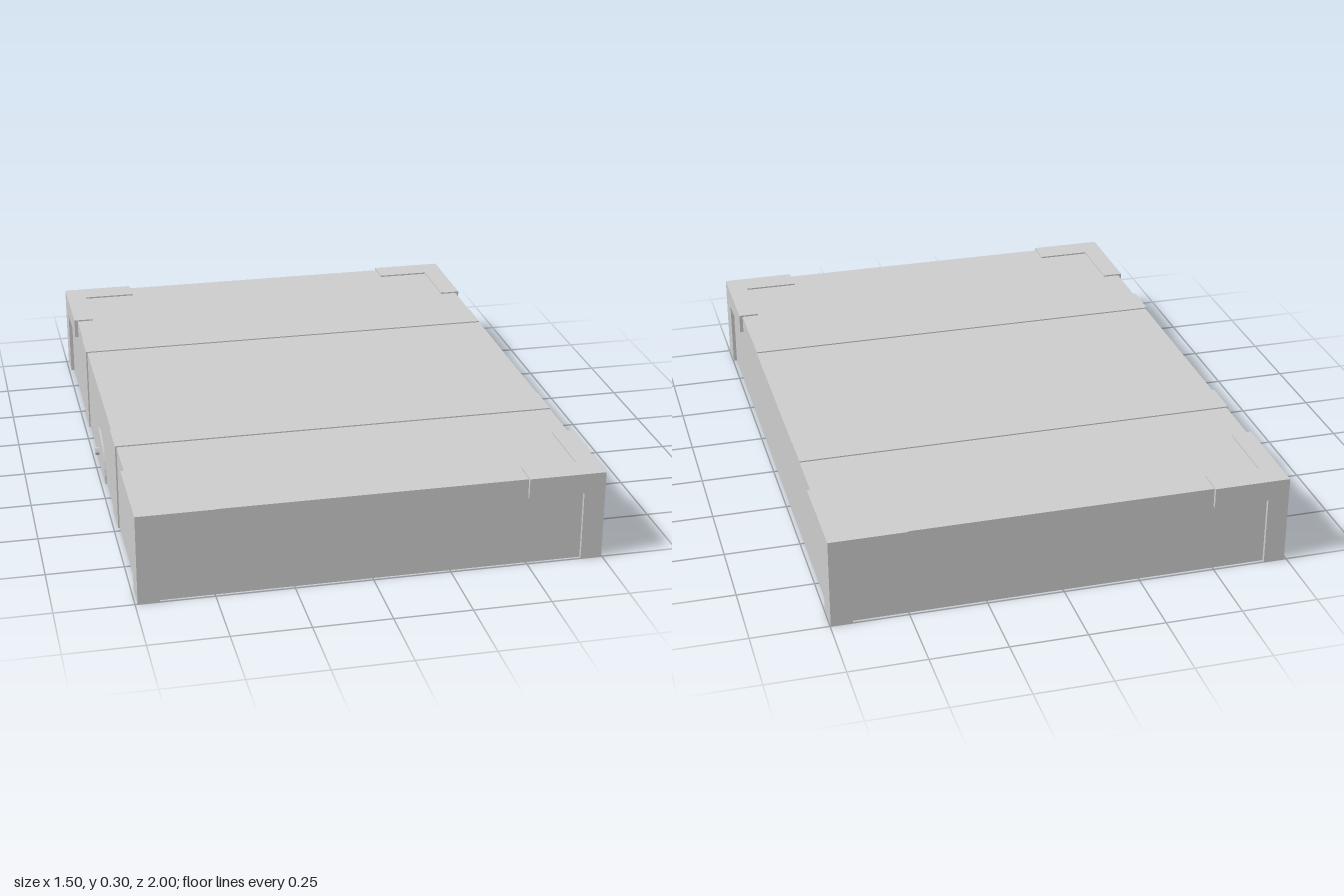
import * as THREE from 'three';

const material = new THREE.MeshStandardMaterial({ color: 0xcccccc, flatShading: true, side: THREE.DoubleSide });

export function createModel() {
  const group = new THREE.Group();
  const cx = 0.003; // middle of the lid shell

  const add = (name, geometry, parent = group) => {
    const mesh = new THREE.Mesh(geometry, material);
    mesh.name = name;
    parent.add(mesh);
    return mesh;
  };
  // Box given by its lower and upper corners
  const box = (name, x0, y0, z0, x1, y1, z1, parent) => {
    const mesh = add(name, new THREE.BoxGeometry(x1 - x0, y1 - y0, z1 - z0), parent);
    mesh.position.set((x0 + x1) / 2, (y0 + y1) / 2, (z0 + z1) / 2);
    return mesh;
  };
  const rect = (target, w, d) => {
    target.moveTo(-w, -d).lineTo(w, -d).lineTo(w, d).lineTo(-w, d).closePath();
    return target;
  };

  // Hollow lid: a rim of four walls under a closed top panel
  const W = 0.733, D = 0.988, TOP = 0.292, CEILING = 0.245;
  const wallShape = rect(new THREE.Shape(), W, D);
  wallShape.holes.push(rect(new THREE.Path(), 0.675, 0.915));
  const walls = add('lidWalls', new THREE.ExtrudeGeometry(wallShape, { depth: CEILING, bevelEnabled: false }).rotateX(-Math.PI / 2));
  walls.position.x = cx;
  box('lidTop', cx - W, CEILING, -D, cx + W, TOP, D);

  // Raised corner guards: a post with one arm along each edge
  for (const sx of [-1, 1]) for (const sz of [-1, 1]) {
    const guard = new THREE.Group();
    guard.name = 'cornerGuard';
    const part = (name, xIn, xOut, zIn, zOut, y0, y1) => {
      const xs = [cx + sx * xIn, cx + sx * xOut].sort((a, b) => a - b);
      const zs = [sz * zIn, sz * zOut].sort((a, b) => a - b);
      box(name, xs[0], y0, zs[0], xs[1], y1, zs[1], guard);
    };
    part('guardPost', 0.676, 0.745, 0.916, 1, 0, 0.23);
    part('guardCap', 0.676, 0.745, 0.907, 1, 0.23, 0.297);
    part('guardPostFront', 0.676, 0.72, 0.98, 1, 0, 0.23);
    part('guardPostSide', 0.725, 0.745, 0.907, 0.93, 0, 0.23);
    part('guardArmX', 0.495, 0.676, 0.907, 1, 0.25, 0.297);
    part('guardArmXLip', 0.495, 0.676, 0.98, 1, 0.23, 0.25);
    part('guardArmZ', 0.676, 0.745, 0.67, 0.907, 0.25, 0.297);
    part('guardArmZLip', 0.725, 0.745, 0.67, 0.907, 0.23, 0.25);
    group.add(guard);
  }

  // Straps over the top and down the hinge side, each with an inner wedge
  for (const [s, size] of [[1, 0.11], [-1, 0.03]]) {
    const z = s * 0.415;
    box('strapTop', -0.735, 0.28, z - 0.065, cx + W, 0.296, z + 0.065);
    box('strapSide', -0.735, 0, z - 0.065, -0.72, 0.296, z + 0.065);
    const wedge = new THREE.Shape();
    wedge.moveTo(0, 0).lineTo(0, -size * 0.4).lineTo(size, 0).closePath();
    const gusset = add('strapGusset', new THREE.ExtrudeGeometry(wedge, { depth: size, bevelEnabled: false }));
    gusset.position.set(-0.672, CEILING, z - size / 2);
  }

  // Half-round lock plate with a small stud
  const arch = new THREE.Shape();
  arch.absarc(0, 0, 0.14, 0, Math.PI, false);
  arch.closePath();
  const plate = add('lockPlate', new THREE.ExtrudeGeometry(arch, { depth: 0.012, bevelEnabled: false, curveSegments: 8 }));
  plate.rotation.y = -Math.PI / 2;
  plate.position.x = -0.724;
  const stud = add('lockStud', new THREE.CylinderGeometry(0.014, 0.014, 0.02, 6).rotateZ(Math.PI / 2));
  stud.position.set(-0.739, 0.05, -0.03);

  return group;
}
